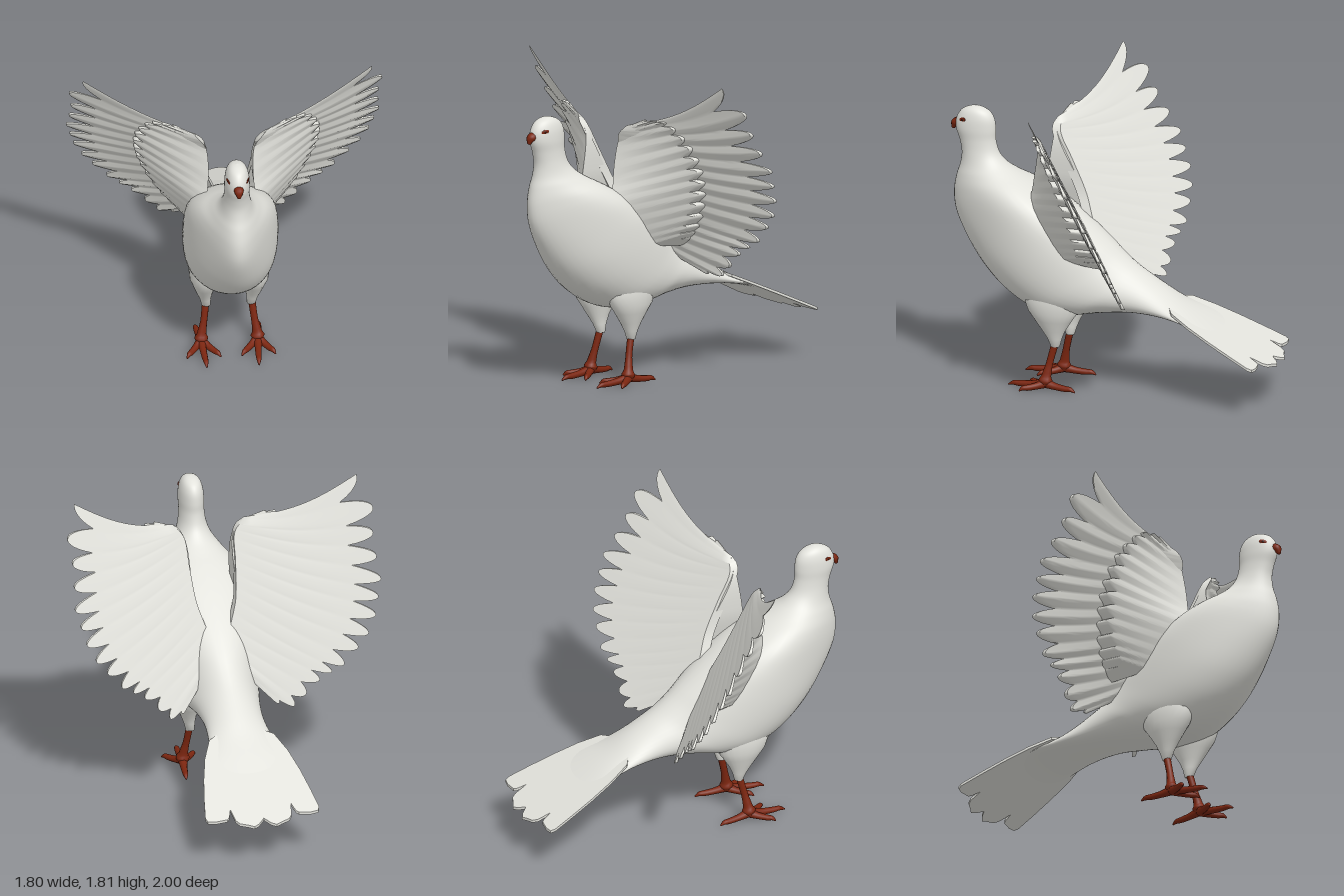
import * as THREE from 'three';
import { toCreasedNormals } from 'three/addons/utils/BufferGeometryUtils.js';

const V = (x, y, z) => new THREE.Vector3(x, y, z);
const curve = (pts) => new THREE.CatmullRomCurve3(pts.map((p) => V(...p)));

// Closed skin through rows of points; each row is a ring. Winding is set to face outwards.
function skin(rows, crease) {
  const n = rows[0].length, index = [];
  let volume = 0;
  for (let i = 0; i < rows.length - 1; i++) {
    for (let j = 0; j < n; j++) {
      const k = (j + 1) % n;
      const a = i * n + j, b = i * n + k, c = a + n, d = b + n;
      index.push(a, c, b, b, c, d);
      volume += V(0, 0, 0).crossVectors(rows[i + 1][j], rows[i][k]).dot(rows[i][j]);
      volume += V(0, 0, 0).crossVectors(rows[i + 1][j], rows[i + 1][k]).dot(rows[i][k]);
    }
  }
  if (volume < 0) index.reverse();
  const geo = new THREE.BufferGeometry().setFromPoints(rows.flat());
  geo.setIndex(index);
  geo.computeVertexNormals();
  return crease ? toCreasedNormals(geo, crease) : geo;
}

// Round limb along a path with a radius at each path point, closed at both ends
function limb(pts, radii, steps = 16, sides = 10) {
  const path = curve(pts), radius = curve(radii.map((r) => [r, 0, 0]));
  const rows = [];
  for (let i = -1; i <= steps + 1; i++) {
    const t = Math.min(Math.max(i / steps, 0), 1);
    const p = path.getPoint(t), dir = path.getTangent(t);
    const side = V(0, 0, 0).crossVectors(dir, Math.abs(dir.y) > 0.8 ? V(0, 0, 1) : V(0, 1, 0)).normalize();
    const up = V(0, 0, 0).crossVectors(side, dir);
    const r = i < 0 || i > steps ? 0 : radius.getPoint(t).x;
    rows.push(Array.from({ length: sides }, (_, j) => {
      const a = (j / sides) * Math.PI * 2;
      return p.clone().addScaledVector(side, r * Math.cos(a)).addScaledVector(up, r * Math.sin(a));
    }));
  }
  return skin(rows);
}

// Slanted plane that each spread wing lies in
const wingPlane = (x, y) => 0.39 - 0.53 * (x - 0.3) + 0.55 * (y - 1.57);

// Fan of joined feathers from a root line to a tip line; points are [x, y, lift off the wing plane]
function featherFan(s, roots, tips, { count, notch, ridge, sag, thickness }) {
  const root = curve(roots), tip = curve(tips);
  const nu = (count - 1) * 12, nv = 14, rows = [];
  for (let i = 0; i <= nu; i++) {
    const u = i / nu, f = 0.5 + u * (count - 1);
    const e = Math.abs(2 * (f % 1) - 1);
    const reach = 1 - notch(u) * Math.pow(e, 2.1);
    const taper = Math.sqrt(Math.min(1, u * 10, (1 - u) * 14));
    const a = root.getPoint(u), b = tip.getPoint(u);
    const front = [], back = [];
    for (let j = 0; j <= nv; j++) {
      const v = j / nv, p = a.clone().lerp(b, v * reach);
      p.y -= sag * (1 - u) * Math.sin(Math.PI * v * reach);
      const z = wingPlane(p.x, p.y);
      front.push(V(s * p.x, p.y, z + (p.z + ridge * v * (1 - e)) * taper));
      back.unshift(V(s * p.x, p.y, z - thickness(v) * taper));
    }
    rows.push([...front, ...back]);
  }
  return skin(rows, 0.9);
}

// Body sections: [belly z, belly y, back z, back y, half width, keel]; a positive keel
// narrows the belly side, a negative one fills it out
const BODY = [
  [0.85, 1.615, 0.85, 1.615, 0.002, 0], [0.89, 1.608, 0.805, 1.605, 0.032, 0],
  [0.935, 1.585, 0.762, 1.58, 0.054, 0], [0.965, 1.535, 0.738, 1.54, 0.068, 0],
  [0.968, 1.48, 0.73, 1.48, 0.073, 0], [0.945, 1.41, 0.73, 1.42, 0.072, 0],
  [0.932, 1.34, 0.712, 1.35, 0.08, 0], [0.94, 1.27, 0.665, 1.29, 0.102, 0.1],
  [0.962, 1.2, 0.59, 1.24, 0.145, 0.25], [0.978, 1.1, 0.49, 1.19, 0.205, 0.4],
  [0.965, 0.99, 0.38, 1.13, 0.245, 0.42], [0.9, 0.85, 0.25, 1.05, 0.267, 0.3],
  [0.79, 0.69, 0.12, 0.96, 0.274, 0.1], [0.65, 0.555, 0.02, 0.88, 0.268, -0.05],
  [0.47, 0.455, -0.06, 0.81, 0.25, -0.15], [0.3, 0.43, -0.13, 0.755, 0.222, -0.15],
  [0.1, 0.46, -0.22, 0.695, 0.188, -0.05], [-0.1, 0.485, -0.32, 0.63, 0.172, 0],
  [-0.32, 0.485, -0.43, 0.555, 0.185, 0], [-0.5, 0.465, -0.55, 0.488, 0.21, 0],
  [-0.68, 0.409, -0.68, 0.416, 0.17, 0],
];

// Head, breast and back in one skin
function bodyGeometry() {
  const belly = curve(BODY.map(([z, y, , , w]) => [w, y, z]));
  const back = curve(BODY.map(([, , z, y, , keel]) => [keel, y, z]));
  const rows = [], steps = 100, sides = 40;
  for (let i = 0; i <= steps; i++) {
    const p = belly.getPoint(i / steps), q = back.getPoint(i / steps);
    rows.push(Array.from({ length: sides }, (_, j) => {
      const a = (j / sides) * Math.PI * 2, k = 0.5 + 0.5 * Math.cos(a);
      return V(p.x * Math.sin(a - q.x * Math.sin(a)), q.y + (p.y - q.y) * k, q.z + (p.z - q.z) * k);
    }));
  }
  return skin(rows);
}

// Tail: flat fan with scalloped end, sloped down towards the back
function tailGeometry() {
  const half = [[0.12, 0.36], [0.19, 0.4], [0.245, 0.52], [0.285, 0.66], [0.315, 0.8], [0.335, 0.91],
    [0.325, 0.935], [0.28, 0.942], [0.21, 0.935], [0.195, 0.92], [0.178, 0.87], [0.165, 0.945],
    [0.145, 0.97], [0.1, 0.985], [0.065, 1.0], [0.035, 0.985], [0, 0.95]];
  const mirror = half.slice(0, -1).reverse().map(([x, z]) => [-x, z]);
  const shape = new THREE.Shape([...half, ...mirror].map(([x, z]) => new THREE.Vector2(x, z)));
  const geo = new THREE.ExtrudeGeometry(shape, { depth: 0.016, bevelEnabled: false });
  geo.rotateX(-Math.PI / 2);
  const pos = geo.attributes.position;
  for (let i = 0; i < pos.count; i++) {
    pos.setY(i, pos.getY(i) + 0.486 + 0.46 * (pos.getZ(i) + 0.5));
  }
  geo.computeVertexNormals();
  return geo;
}

export function createModel() {
  const mat = (name, color, side = THREE.FrontSide) => {
    const m = new THREE.MeshStandardMaterial({ color, side });
    m.name = name;
    return m;
  };
  const white = mat('white plumage', 0xe2e2dc, THREE.DoubleSide);
  const red = mat('red brown skin', 0x7c2610);
  const dark = mat('dark pupil', 0x2a0f08);

  const bird = new THREE.Group();
  bird.name = 'bird';
  const add = (name, geo, material, parent = bird) => {
    const mesh = new THREE.Mesh(geo, material);
    mesh.name = name;
    parent.add(mesh);
    return mesh;
  };

  add('body', bodyGeometry(), white);
  add('tail', tailGeometry(), white);
  add('beak', limb([[0, 1.508, 0.95], [0, 1.5, 0.973], [0, 1.467, 0.988]], [0.03, 0.026, 0.009]), red);

  for (const [s, side] of [[1, 'left'], [-1, 'right']]) {
    // Eye with pupil
    const eye = add(side + 'Eye', new THREE.SphereGeometry(1, 20, 12), red);
    eye.scale.set(0.004, 0.013, 0.024);
    eye.position.set(s * 0.0565, 1.537, 0.912);
    eye.rotation.set(0.3, -s * 0.4, 0);
    const pupil = add(side + 'Pupil', new THREE.SphereGeometry(1, 16, 10), dark);
    pupil.scale.set(0.003, 0.007, 0.009);
    pupil.position.set(s * 0.0585, 1.537, 0.913);
    pupil.rotation.y = -s * 0.4;

    // Wing: long flight feathers, with shorter coverts padding the shoulder in front
    const wing = new THREE.Group();
    wing.name = side + 'Wing';
    bird.add(wing);
    add('flightFeathers', featherFan(s,
      [[0.21, 1.535, 0.02], [0.15, 1.46, 0.03], [0.135, 1.3, 0.04], [0.115, 1.12, 0.04], [0.06, 0.92, 0.03],
        [0.08, 0.76, 0.03]],
      [[0.83, 1.82, 0.004], [0.9, 1.66, 0.004], [0.885, 1.53, 0.004], [0.89, 1.415, 0.004],
        [0.9, 1.3, 0.004], [0.875, 1.205, 0.004], [0.85, 1.11, 0.004], [0.8, 1.01, 0.004],
        [0.735, 0.93, 0.004], [0.65, 0.835, 0.004], [0.58, 0.79, 0.004], [0.51, 0.74, 0.004],
        [0.43, 0.66, 0.004], [0.36, 0.595, 0.004], [0.27, 0.6, 0.004]],
      { count: 15, notch: (u) => 0.22 - 0.1 * u, ridge: 0.018, sag: 0.045,
        thickness: (v) => 0.003 + 0.018 * (1 - v) ** 2 }), white, wing);
    add('coverts', featherFan(s,
      [[0.2, 1.525, 0.01], [0.145, 1.45, 0.02], [0.13, 1.22, 0.17], [0.16, 1.05, 0.29], [0.2, 0.88, 0.28],
        [0.23, 0.78, 0.22]],
      [[0.32, 1.58, 0.02], [0.45, 1.565, 0.025], [0.525, 1.44, 0.04], [0.53, 1.27, 0.055],
        [0.48, 1.1, 0.075], [0.385, 0.93, 0.11], [0.285, 0.82, 0.14]],
      { count: 15, notch: () => 0.13, ridge: 0.012, sag: 0, thickness: () => 0 }), white, wing);

    // Feathered thigh: [y, x, z, half width, half depth]
    const thigh = [[0.75, 0.13, 0.34, 0.05, 0.1], [0.62, 0.14, 0.335, 0.085, 0.16], [0.54, 0.143, 0.335, 0.09, 0.17],
      [0.47, 0.145, 0.333, 0.083, 0.145], [0.42, 0.143, 0.332, 0.067, 0.11], [0.36, 0.14, 0.33, 0.048, 0.07],
      [0.31, 0.135, 0.325, 0.033, 0.043], [0.26, 0.13, 0.322, 0.026, 0.025], [0.26, 0.13, 0.322, 0, 0]];
    add(side + 'Thigh', skin(thigh.map(([y, x, z, w, d]) => Array.from({ length: 24 }, (_, j) => {
      const a = (j / 24) * Math.PI * 2;
      return V(s * (x + w * Math.cos(a)), y, z + d * Math.sin(a));
    }))), white);

    // Leg and four clawed toes
    const foot = new THREE.Group();
    foot.name = side + 'Leg';
    bird.add(foot);
    add('shank', limb([[s * 0.132, 0.28, 0.323], [s * 0.145, 0.17, 0.35], [s * 0.16, 0.08, 0.368],
      [s * 0.163, 0.03, 0.375]], [0.021, 0.02, 0.028, 0.028]), red, foot);
    for (const [x, z] of [[0.06, 0.5], [0.15, 0.6], [0.255, 0.5], [0.185, 0.185]]) {
      const at = (k, y) => [s * (0.163 + (x - 0.163) * k), y, 0.37 + (z - 0.37) * k];
      add('toe', limb([at(0, 0.045), at(0.35, 0.032), at(0.7, 0.026), at(0.85, 0.026), at(1, 0.012)],
        [0.028, 0.02, 0.017, 0.014, 0.004]), red, foot);
    }
  }
  return bird;
}
